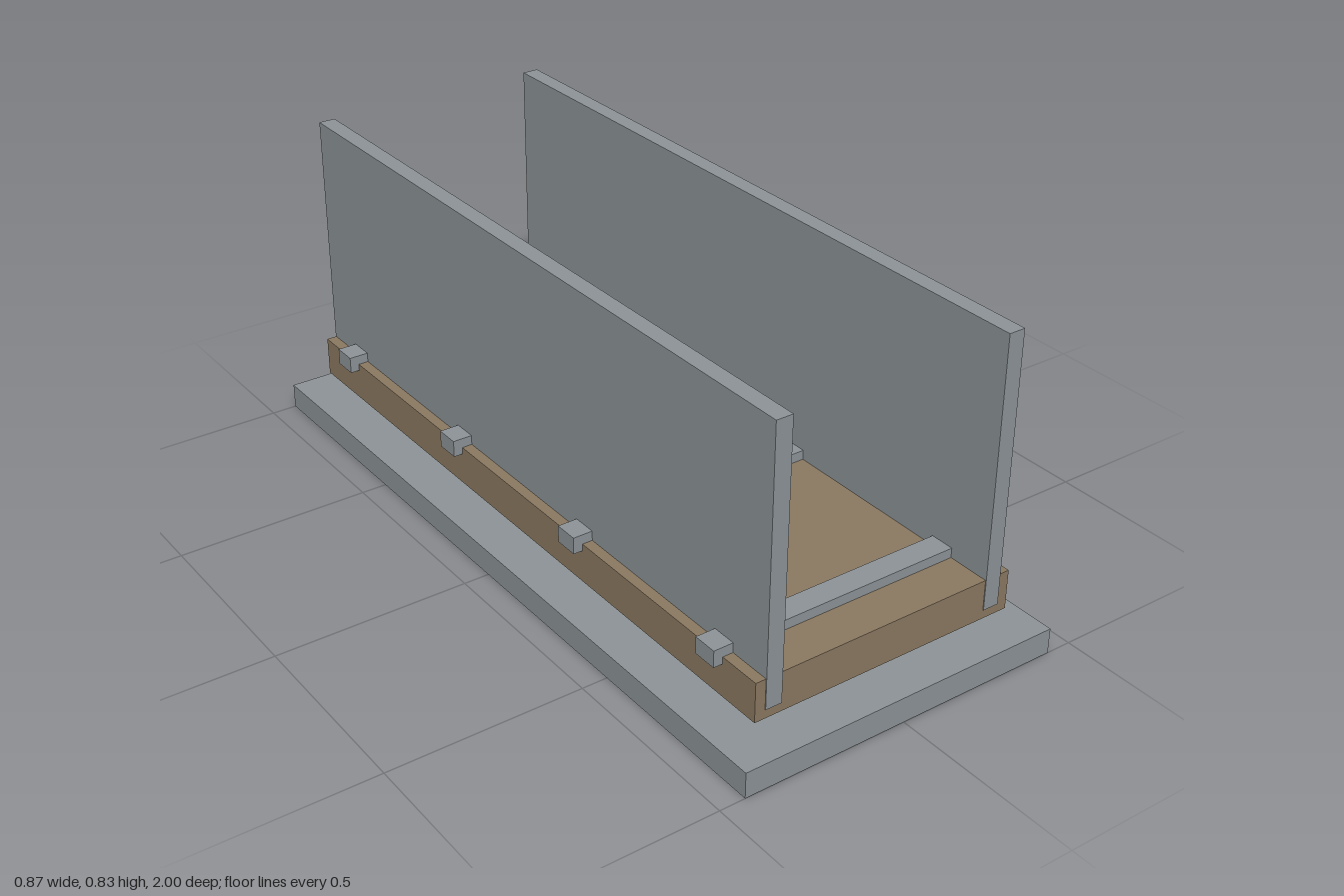
import * as THREE from 'three';

export function createModel() {
  const model = new THREE.Group();
  const steel = new THREE.MeshStandardMaterial({ name: 'steelGrey', color: 0x8e9599 });
  const wood = new THREE.MeshStandardMaterial({ name: 'woodBrown', color: 0x8c7a62 });

  // Box given by its size, bottom height and x/z centre
  function box(name, material, [w, h, d], bottom, x = 0, z = 0) {
    const mesh = new THREE.Mesh(new THREE.BoxGeometry(w, h, d), material);
    mesh.name = name;
    mesh.position.set(x, bottom + h / 2, z);
    model.add(mesh);
  }

  // Base slab and the wooden deck floating above it
  box('baseSlab', steel, [0.868, 0.066, 2], 0);
  box('woodenDeck', wood, [0.714, 0.102, 1.856], 0.113);

  // Tall side walls, set into the deck and just proud of its ends
  for (const [side, name] of [[1, 'leftWall'], [-1, 'rightWall']]) {
    box(name, steel, [0.043, 0.694, 1.86], 0.136, side * 0.3085);
  }

  // Cross bars running through both walls
  [-0.785, -0.262, 0.262, 0.785].forEach((z, i) => {
    box(`crossBar${i + 1}`, steel, [0.762, 0.043, 0.063], 0.197, 0, z);
  });

  return model;
}
